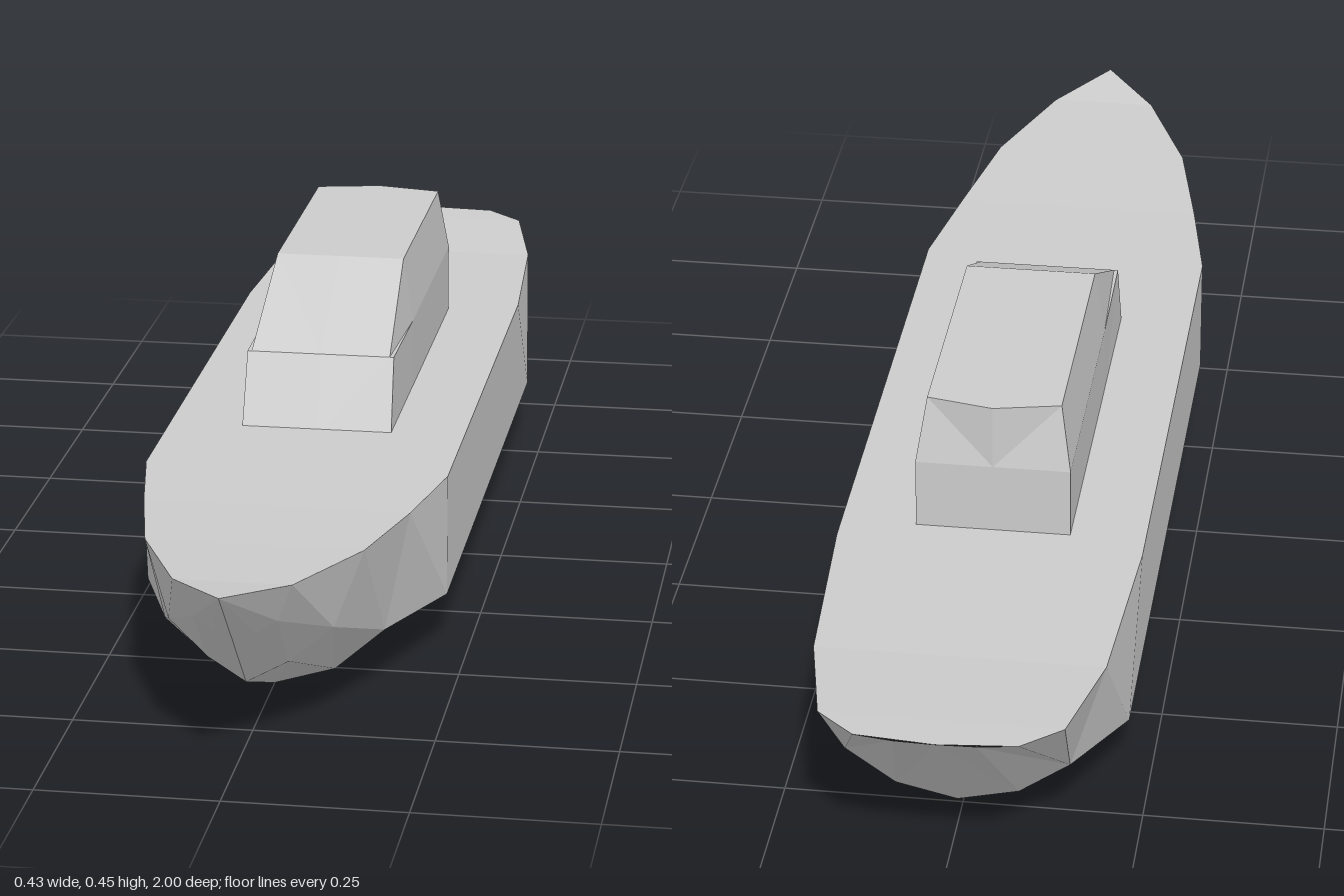
import * as THREE from 'three';

// Skin over stations running front to back. Each station lists half a section
// [x, y, z] from the top centre, round the +x side, to the bottom centre.
function loft(stations, capCentre) {
  const rings = stations.map((half) => [
    ...half,
    ...half.slice(1, -1).reverse().map(([x, y, z]) => [-x, y, z]),
  ].map((p) => new THREE.Vector3(...p)));
  const pos = [];
  const tri = (a, b, c) => {
    const area = b.clone().sub(a).cross(c.clone().sub(a)).length();
    if (area > 1e-7) for (const p of [a, b, c]) pos.push(p.x, p.y, p.z);
  };
  const n = rings[0].length;
  for (let i = 0; i < rings.length - 1; i++) {
    for (let j = 0; j < n; j++) {
      const k = (j + 1) % n;
      const a = rings[i][j], b = rings[i][k], c = rings[i + 1][k], d = rings[i + 1][j];
      // diagonals mirrored between the two sides
      if (j < n / 2) { tri(a, b, c); tri(a, c, d); }
      else { tri(a, b, d); tri(b, c, d); }
    }
  }
  if (capCentre) {
    const m = new THREE.Vector3(...capCentre);
    const last = rings[rings.length - 1];
    last.forEach((p, j) => tri(m, p, last[(j + 1) % n]));
  }
  const geo = new THREE.BufferGeometry();
  geo.setAttribute('position', new THREE.Float32BufferAttribute(pos, 3));
  geo.computeVertexNormals();
  return geo;
}

// Hull station: deck edge, chine, bilge and keel
const hullStation = (deck, chine, bilge, keel) =>
  [[0, deck[1], deck[2]], deck, chine, bilge, [0, ...keel]];

export function createModel() {
  const group = new THREE.Group();
  group.name = 'boat';
  const material = new THREE.MeshStandardMaterial({ color: 0xcccccc, flatShading: true });
  const add = (name, geometry) => {
    const mesh = new THREE.Mesh(geometry, material);
    mesh.name = name;
    group.add(mesh);
  };

  // Hull with pointed bow, long straight midbody and raked stern
  const tip = [0, 0.282, 1];
  const sternCentre = [0, 0.265, -1];
  const sternCorner = [0.11, 0.265, -0.99];
  add('hull', loft([
    [tip, tip, tip, tip, tip],
    hullStation([0.08, 0.269, 0.9], [0.057, 0.21, 0.88], [0.028, 0.195, 0.89], [0.187, 0.9]),
    hullStation([0.15, 0.261, 0.73], [0.113, 0.16, 0.76], [0.055, 0.115, 0.78], [0.09, 0.8]),
    hullStation([0.187, 0.254, 0.55], [0.155, 0.088, 0.57], [0.085, 0.026, 0.57], [0, 0.57]),
    hullStation([0.217, 0.252, 0.38], [0.217, 0.075, 0.38], [0.11, 0.025, 0.38], [0, 0.38]),
    hullStation([0.217, 0.252, -0.48], [0.217, 0.075, -0.48], [0.11, 0.025, -0.48], [0, -0.48]),
    hullStation([0.2, 0.252, -0.77], [0.217, 0.075, -0.63], [0.11, 0.025, -0.63], [0, -0.63]),
    hullStation([0.165, 0.263, -0.94], [0.155, 0.11, -0.8], [0.085, 0.06, -0.8], [0.04, -0.8]),
    [sternCentre, sternCorner, sternCorner, [0.055, 0.265, -0.998], sternCentre],
  ]));

  // Cabin with a low front panel, sloping windscreen and tapered roof
  const cabinStation = (z, shoulder, roof, roofZ = z) => [
    [0, roof[1], z], [...roof, roofZ], [...shoulder, z], [0.11, 0.245, z], [0, 0.245, z],
  ];
  add('cabin', loft([
    cabinStation(0.2, [0.11, 0.245], [0.11, 0.245]),
    cabinStation(0.16, [0.108, 0.355], [0.102, 0.355]),
    cabinStation(-0.03, [0.11, 0.355], [0.095, 0.45]),
    cabinStation(-0.44, [0.11, 0.355], [0.095, 0.45], -0.42),
  ], [0, 0.355, -0.44]));

  return group;
}
